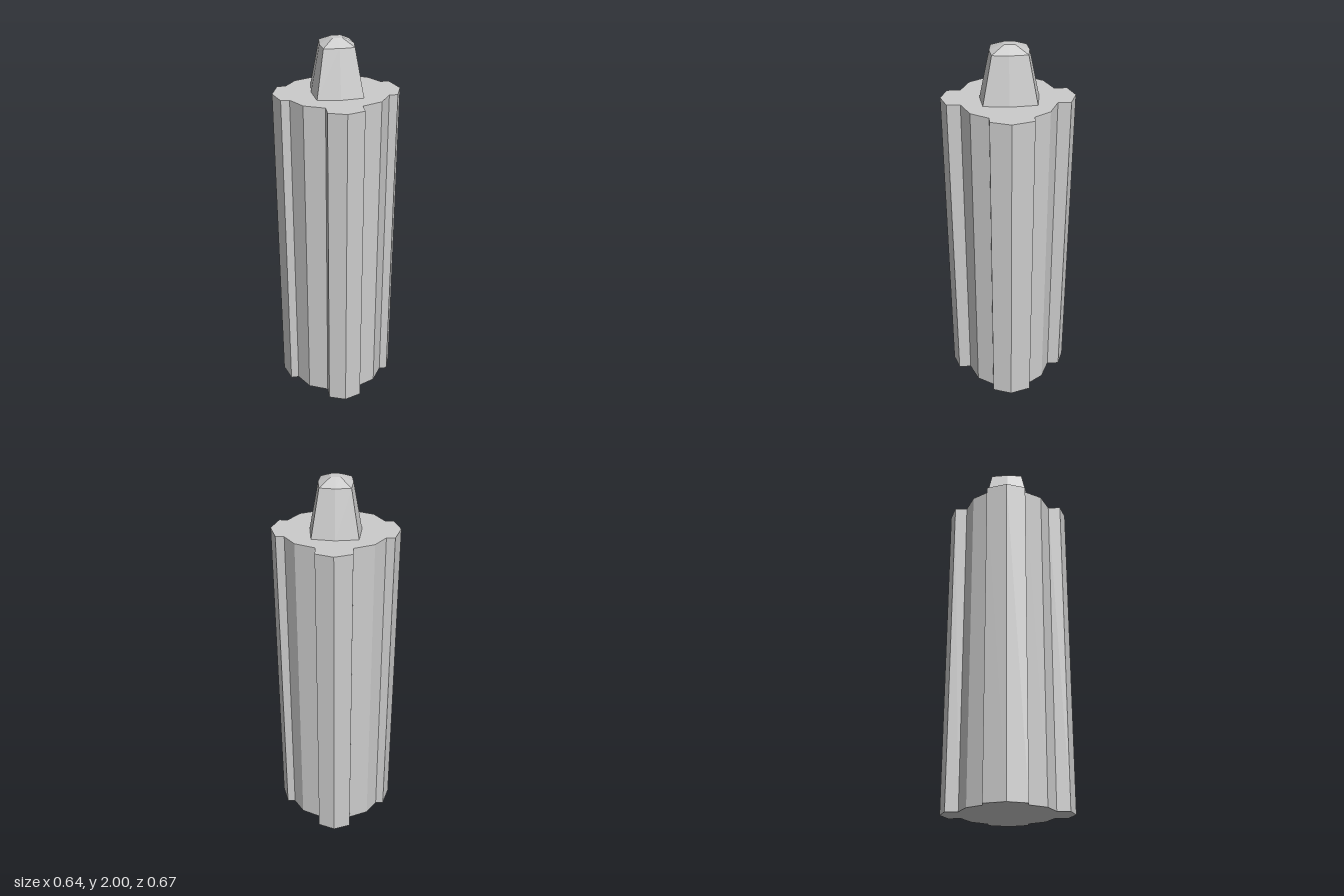
import * as THREE from 'three';

const material = new THREE.MeshStandardMaterial({ color: 0xcccccc, flatShading: true });

// Completes a half outline of [x, z], running back to front on +x, by mirroring it to -x
const mirrorOutline = (half) => [
  ...half,
  ...half.slice(1, -1).reverse().map(([x, z]) => [-x, z]),
];

// Skins stacked rings { y, outline } and closes the top
function loft(rings) {
  const position = [];
  const n = rings[0].outline.length;
  const add = (ring, i) => position.push(ring.outline[i % n][0], ring.y, ring.outline[i % n][1]);
  for (let r = 0; r < rings.length - 1; r++) {
    const low = rings[r], high = rings[r + 1];
    for (let i = 0; i < n; i++) {
      add(low, i + 1); add(low, i); add(high, i);
      add(low, i + 1); add(high, i); add(high, i + 1);
    }
  }
  const top = rings[rings.length - 1];
  for (let i = 1; i < n - 1; i++) {
    add(top, 0); add(top, i + 1); add(top, i);
  }
  const geometry = new THREE.BufferGeometry();
  geometry.setAttribute('position', new THREE.Float32BufferAttribute(position, 3));
  geometry.computeVertexNormals();
  return geometry;
}

export function createModel() {
  const group = new THREE.Group();
  const shaftHeight = 1.73;

  // Shaft: faceted column with four pointed ribs
  const shaftOutline = mirrorOutline([
    [0, -0.335], [0.089, -0.302], [0.089, -0.236], [0.19, -0.191],
    [0.245, -0.111], [0.288, -0.111], [0.322, 0], [0.288, 0.101], [0.245, 0.101],
    [0.19, 0.189], [0.089, 0.234], [0.089, 0.301], [0, 0.333],
  ]);
  const shape = new THREE.Shape(shaftOutline.map(([x, z]) => new THREE.Vector2(x, -z)));
  const shaftGeometry = new THREE.ExtrudeGeometry(shape, { depth: shaftHeight, bevelEnabled: false });
  shaftGeometry.rotateX(-Math.PI / 2);
  const shaft = new THREE.Mesh(shaftGeometry, material);
  shaft.name = 'ribbedShaft';
  group.add(shaft);

  // Tip: tapered eight-sided block with a shallow cap
  const tip = new THREE.Mesh(loft([
    { y: shaftHeight, outline: mirrorOutline([[0, -0.153], [0.115, -0.138], [0.129, 0], [0.115, 0.127], [0, 0.141]]) },
    { y: 1.967, outline: mirrorOutline([[0, -0.103], [0.076, -0.093], [0.085, 0], [0.076, 0.081], [0, 0.091]]) },
    { y: 2, outline: mirrorOutline([[0, -0.034], [0.023, -0.032], [0.026, -0.006], [0.023, 0.02], [0, 0.023]]) },
  ]), material);
  tip.name = 'taperedTip';
  group.add(tip);

  return group;
}
